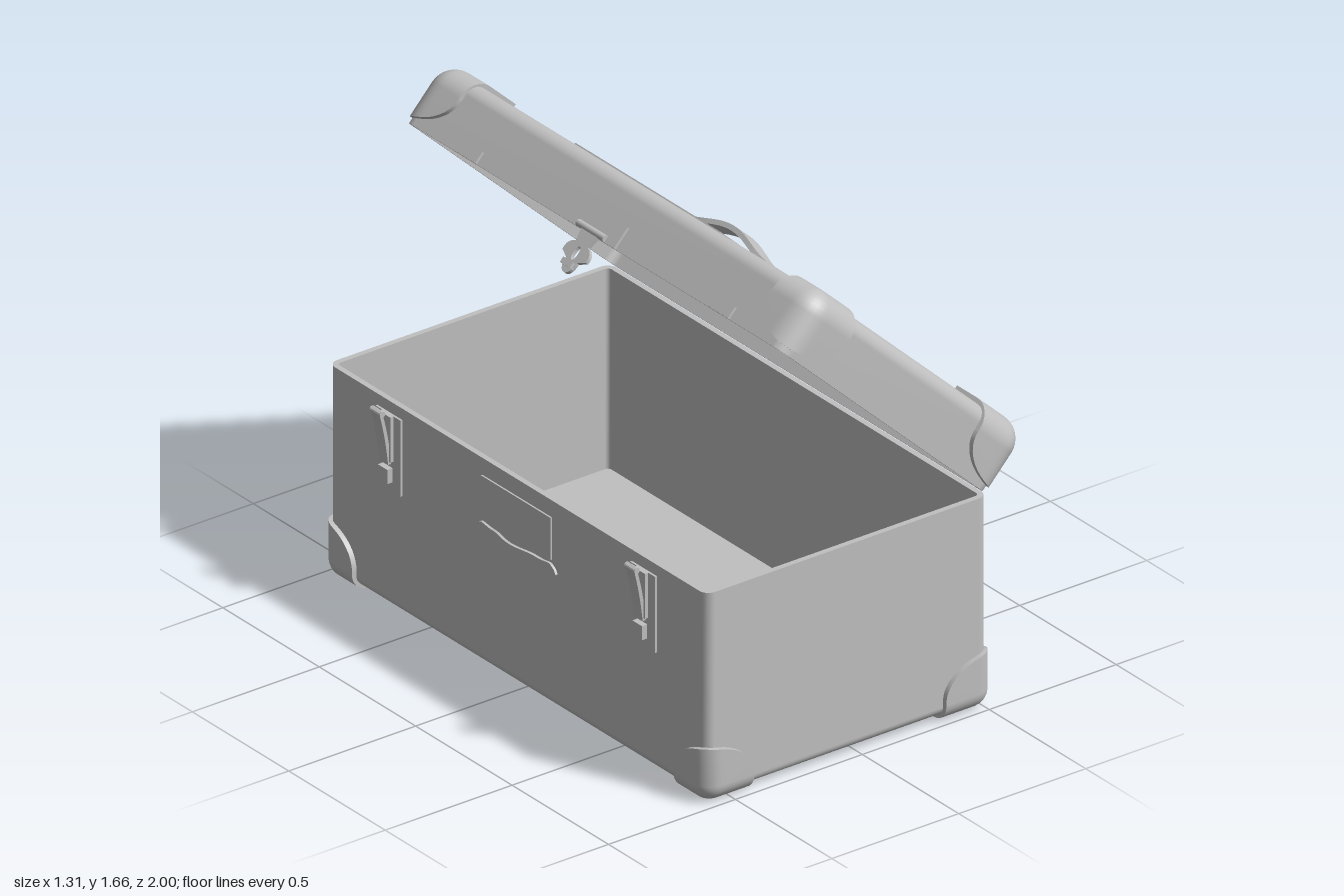
import * as THREE from 'three';

const grey = new THREE.MeshStandardMaterial({ color: 0xc0c0c0, side: THREE.DoubleSide });
grey.name = 'plain grey';

function add(parent, name, geometry, x = 0, y = 0, z = 0) {
  const m = new THREE.Mesh(geometry, grey);
  m.name = name;
  m.position.set(x, y, z);
  parent.add(m);
  return m;
}

const box = (w, h, d) => new THREE.BoxGeometry(w, h, d);

// Surface through rows of points; repeated points keep an edge sharp
function grid(rows, closed = false) {
  const n = rows[0].length, idx = [];
  for (let i = 0; i < rows.length - 1; i++) {
    for (let j = 0; j < (closed ? n : n - 1); j++) {
      const a = i * n + j, b = i * n + (j + 1) % n;
      idx.push(a, b, a + n, b, b + n, a + n);
    }
  }
  const g = new THREE.BufferGeometry();
  g.setAttribute('position', new THREE.Float32BufferAttribute(rows.flat(2), 3));
  g.setIndex(idx);
  g.computeVertexNormals();
  return g;
}

// Hollow open-topped box with rounded outer edges
function tub(w, h, d, r, t) {
  const loop = (inset, y) => {
    const pts = [], rad = Math.max(r - inset, 0.0005);
    for (let c = 0; c < 4; c++) {
      const sx = c === 0 || c === 3 ? 1 : -1, sz = c < 2 ? 1 : -1;
      for (let k = 0; k <= 6; k++) {
        const a = (c + k / 6) * Math.PI / 2;
        pts.push([sx * (w / 2 - inset - rad) + rad * Math.cos(a), y,
          sz * (d / 2 - inset - rad) + rad * Math.sin(a)]);
      }
    }
    return pts;
  };
  const rows = [];
  const centre = y => loop(0, y).map(() => [0, y, 0]);
  rows.push(centre(0));
  for (let k = 6; k >= 0; k--) {
    const a = k / 6 * Math.PI / 2;
    rows.push(loop(r * (1 - Math.cos(a)), r * (1 - Math.sin(a))));
  }
  rows.push(loop(0, h), loop(0, h), loop(t, h), loop(t, h), loop(t, t), loop(t, t), centre(t));
  return grid(rows, true);
}

// Protective cap over one bottom corner, its point at the origin
function cornerCap(a, b, r, high, low, e) {
  const path = [];
  const N = 10;
  for (let k = 0; k <= N; k++) path.push([r + (a - r) * Math.cos(k / N * Math.PI / 2), 0, 0, -1]);
  for (let k = 1; k < 8; k++) {
    const q = k / 8 * Math.PI / 2, nx = -Math.sin(q), nz = -Math.cos(q);
    path.push([r + r * nx, r + r * nz, nx, nz]);
  }
  for (let k = N; k >= 0; k--) path.push([0, r + (b - r) * Math.cos(k / N * Math.PI / 2), -1, 0]);
  const column = ([x, z, nx, nz], sink) => {
    const t = Math.min(1, Math.max(x / a, z / b));
    const top = low + (high - low) * Math.sqrt(1 - t * t);
    const at = (y, off) => [x - nx * off, y, z - nz * off];
    const pts = [at(top, e), at(top, sink), at(top, sink), at(r, sink)];
    for (let k = 1; k <= 8; k++) {
      const q = k / 8 * Math.PI / 2, rad = r - sink;
      pts.push(at(r - rad * Math.sin(q), r - rad * Math.cos(q)));
    }
    pts.push([a, sink, b]);
    return pts;
  };
  const cols = path.map(p => column(p, 0));
  const first = path[0], last = path[path.length - 1];
  return grid([column(first, e), cols[0], ...cols, cols[cols.length - 1], column(last, e)]);
}

// Four mirrored caps; up = 1 for the base, -1 for the lid
function cornerCaps(parent, geometry, cx, hx, hz, y, up) {
  for (const sx of [-1, 1]) for (const sz of [-1, 1]) {
    add(parent, 'cornerCap', geometry, cx + sx * hx, y, sz * hz).scale.set(-sx, up, -sz);
  }
}

// Arched strap handle with pointed ends, lying along z and rising in +y
function strap(half, width, rise, thick) {
  const rows = [];
  const N = 48;
  const section = (s, k = 1) => {
    const u = Math.abs(s);
    const tip = Math.min(1, Math.sqrt(Math.max(0, (1 - u) / 0.16)));
    const waist = 1 - 0.2 * Math.exp(-(((u - 0.62) / 0.16) ** 2));
    const w = Math.max(0.0005, width / 2 * tip * waist) * k;
    const v = Math.min(1, u / 0.72);
    const y = (rise - thick) * (0.5 + 0.5 * Math.cos(v * Math.PI));
    const z = s * half, p = [[-w, y, z], [w, y, z], [w, y + thick, z], [-w, y + thick, z]];
    return p.flatMap(q => [q, q]);
  };
  for (let i = 0; i <= N; i++) rows.push(section(-1 + 2 * i / N));
  return grid(rows, true);
}

// Hinged tongue with a slot, hanging down in -y
function hasp() {
  const s = new THREE.Shape();
  s.moveTo(-0.045, 0.02);
  s.lineTo(-0.03, -0.04);
  s.quadraticCurveTo(-0.065, -0.05, -0.06, -0.085);
  s.lineTo(-0.028, -0.1);
  s.quadraticCurveTo(-0.025, -0.145, 0, -0.145);
  s.quadraticCurveTo(0.025, -0.145, 0.028, -0.1);
  s.lineTo(0.06, -0.085);
  s.quadraticCurveTo(0.065, -0.05, 0.03, -0.04);
  s.lineTo(0.045, 0.02);
  const slot = new THREE.Path();
  slot.absellipse(0, -0.075, 0.011, 0.025, 0, Math.PI * 2, true);
  s.holes.push(slot);
  const g = new THREE.ExtrudeGeometry(s, { depth: 0.014, bevelEnabled: false, curveSegments: 8 });
  return g.rotateY(-Math.PI / 2);
}

// Side latch: back plate, bed, curved lever and lower catch, facing -x
function latch() {
  const g = new THREE.Group();
  g.name = 'sideLatch';
  add(g, 'latchPlate', box(0.008, 0.27, 0.13), -0.004, 0.575, 0);
  add(g, 'latchBed', box(0.018, 0.16, 0.06), -0.012, 0.63, 0);
  const s = new THREE.Shape();
  s.moveTo(-0.012, 0.54);
  s.quadraticCurveTo(-0.022, 0.65, -0.05, 0.74);
  s.lineTo(-0.06, 0.735);
  s.quadraticCurveTo(-0.036, 0.65, -0.024, 0.54);
  const lever = new THREE.ExtrudeGeometry(s, { depth: 0.045, bevelEnabled: false, curveSegments: 8 });
  add(g, 'latchLever', lever, 0, 0, -0.0225);
  const roll = new THREE.CylinderGeometry(0.011, 0.011, 0.055, 12).rotateX(Math.PI / 2);
  add(g, 'latchRoll', roll, -0.05, 0.728, 0);
  add(g, 'latchCatch', box(0.022, 0.05, 0.05), -0.018, 0.5, 0);
  return g;
}

export function createModel() {
  const model = new THREE.Group();
  model.name = 'openTrunk';

  // Base
  const base = new THREE.Group();
  base.name = 'base';
  model.add(base);
  add(base, 'baseShell', tub(1.11, 0.73, 1.96, 0.035, 0.02), -0.045, 0.02, 0);
  cornerCaps(base, cornerCap(0.195, 0.165, 0.065, 0.2, 0.075, 0.018), -0.045, 0.573, 0.998, 0.002, 1);
  for (const z of [-0.66, 0.66]) {
    const l = latch();
    l.position.set(-0.6, 0, z);
    base.add(l);
  }
  add(base, 'basePlate', box(0.008, 0.15, 0.36), -0.602, 0.615, 0);
  add(base, 'baseHandle', strap(0.21, 0.06, 0.033, 0.01), -0.599, 0.5, 0).rotation.z = Math.PI / 2;

  // Lid, swung open about its back lower edge
  const lid = new THREE.Group();
  lid.name = 'lid';
  lid.position.set(0.51, 0.752, 0);
  lid.rotation.z = -0.756;
  model.add(lid);
  const L = 1.118, H = 0.218;
  add(lid, 'lidShell', tub(L, H, 1.96, 0.05, 0.02), -L / 2, H, 0).rotation.x = Math.PI;
  cornerCaps(lid, cornerCap(0.225, 0.19, 0.085, 0.215, 0.09, 0.018), -L / 2, L / 2 + 0.016, 0.999, H + 0.016, -1);
  add(lid, 'lidPlate', box(0.35, 0.008, 0.75), -0.855, H + 0.002, 0);
  add(lid, 'lidHandle', strap(0.31, 0.08, 0.062, 0.018), -0.575, H - 0.001, 0);

  // Lid fittings on the opening edge
  for (const z of [-0.655, 0.655]) add(lid, 'lidCatch', box(0.012, 0.042, 0.11), -L - 0.004, 0.022, z);
  add(lid, 'haspPlate', box(0.012, 0.078, 0.24), -L - 0.004, 0.04, 0);
  const pin = new THREE.CylinderGeometry(0.012, 0.012, 0.14, 12).rotateX(Math.PI / 2);
  add(lid, 'haspPin', pin, -L - 0.014, 0.012, 0);
  add(lid, 'haspTongue', hasp(), -L - 0.006, 0, 0);
  add(lid, 'haspKnob', box(0.022, 0.02, 0.05), -L - 0.022, -0.115, 0);

  return model;
}
